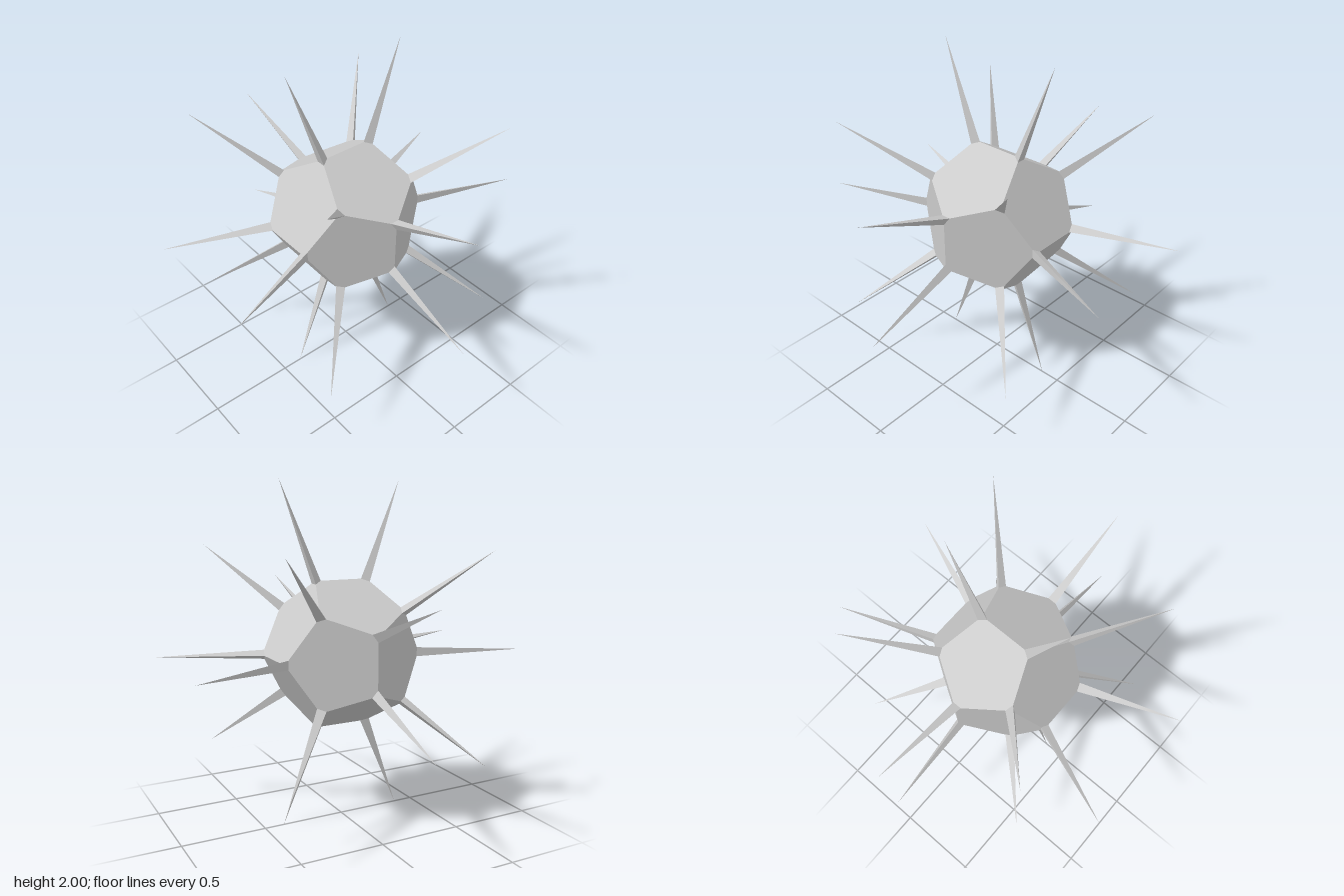
import * as THREE from 'three';

const PHI = (1 + Math.sqrt(5)) / 2;
const UNIT = 0.267;                       // half edge of the cube inscribed in the body
const BODY_R = UNIT * Math.sqrt(3);
const TIP_R = Math.sqrt(3) / PHI;         // spike tips reach 1 unit along each axis
const EDGE = 2 * UNIT / PHI;
const INSET = EDGE * 0.102;               // spike corners sit on the edges, this far from the vertex

// The 20 vertex directions of a dodecahedron
function dodecahedronVertices() {
  const points = [];
  for (const a of [-1, 1]) for (const b of [-1, 1]) {
    const p = a / PHI, q = b * PHI;
    points.push([a, b, -1], [a, b, 1], [0, p, q], [p, q, 0], [q, 0, p]);
  }
  return points.map(p => new THREE.Vector3(...p).multiplyScalar(UNIT));
}

export function createModel() {
  const model = new THREE.Group();
  model.name = 'spikedDodecahedron';
  const material = new THREE.MeshStandardMaterial({ color: 0xcccccc, flatShading: true });

  const body = new THREE.Mesh(new THREE.DodecahedronGeometry(BODY_R), material);
  body.name = 'body';
  body.position.y = 1;
  model.add(body);

  // Three-sided spike, its base just under the body's corner
  const cos = EDGE / 2 / BODY_R;
  const baseR = INSET * Math.sqrt(1 - cos * cos);
  const baseY = BODY_R - INSET * cos;
  const spikeGeometry = new THREE.ConeGeometry(baseR, TIP_R - baseY, 3, 1, true);
  spikeGeometry.translate(0, (TIP_R + baseY) / 2, 0);

  const spikes = new THREE.Group();
  spikes.name = 'spikes';
  spikes.position.y = 1;
  model.add(spikes);

  const vertices = dodecahedronVertices();
  vertices.forEach((v, i) => {
    // Turn one corner of the spike towards a neighbouring vertex
    const neighbour = vertices.find(w => w !== v && w.distanceTo(v) < EDGE * 1.1);
    const up = v.clone().normalize();
    const out = neighbour.clone().sub(v).projectOnPlane(up).normalize();
    const side = new THREE.Vector3().crossVectors(up, out);
    const spike = new THREE.Mesh(spikeGeometry, material);
    spike.name = `spike${i + 1}`;
    spike.quaternion.setFromRotationMatrix(new THREE.Matrix4().makeBasis(side, up, out));
    spikes.add(spike);
  });

  return model;
}
